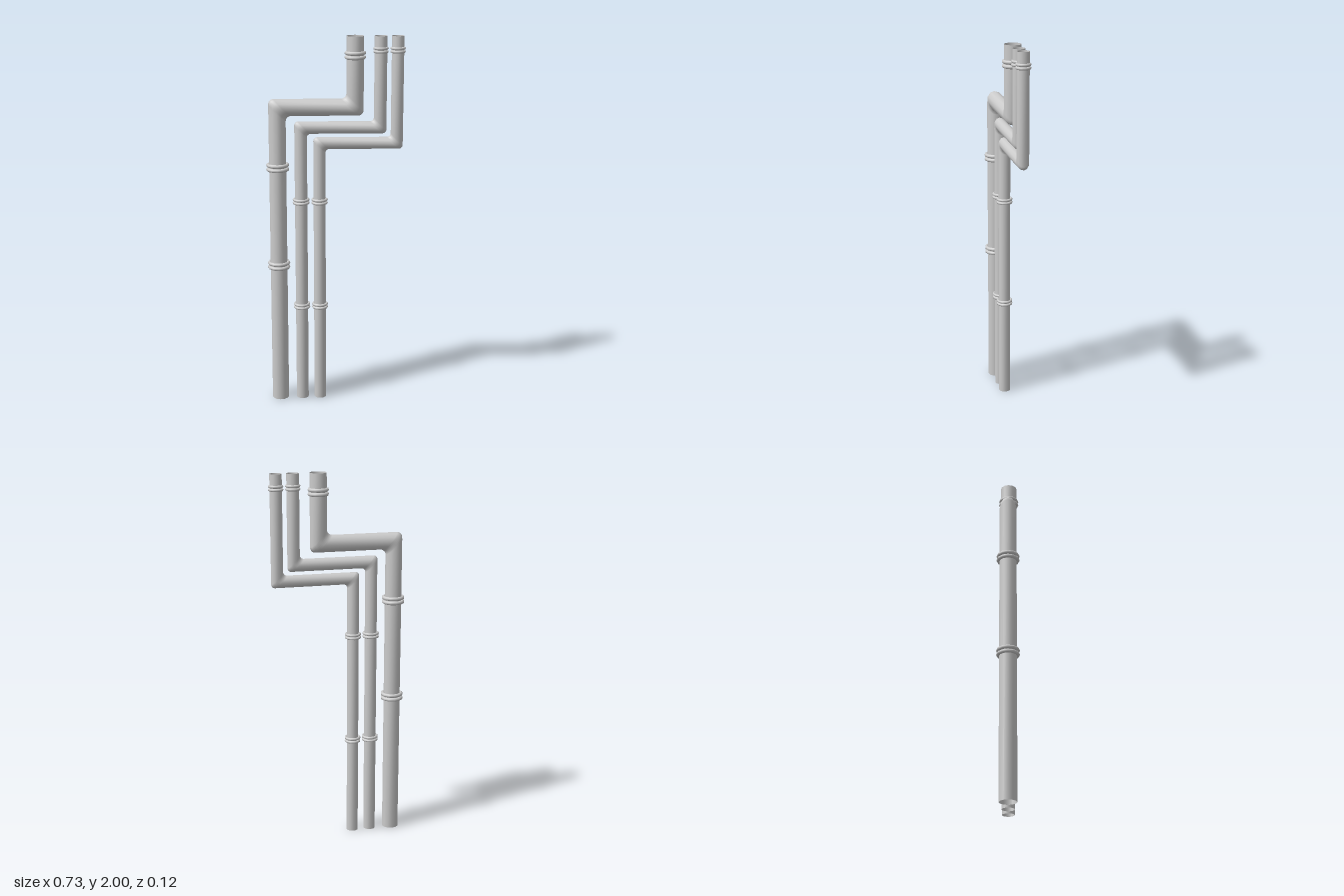
import * as THREE from 'three';

const SIDES = 12;
const BEND_STEPS = 5;
const TOP = 2;

// Open pipe swept up, across and up again. Each ring spans a left and a right
// edge point, so both the inside and the outside of a bend are filleted.
function pipeGeometry({ lowX, highX, crossY, r, fillet: f }) {
  const rings = [[[lowX - r, 0], [lowX + r, 0]]];
  const bend = (x, s) => {
    for (let k = 0; k <= BEND_STEPS; k++) {
      const t = (k / BEND_STEPS) * Math.PI / 2;
      const dx = s > 0 ? f - f * Math.cos(t) : -f + f * Math.sin(t);
      const dy = s > 0 ? -f + f * Math.sin(t) : f - f * Math.cos(t);
      rings.push([[x - r + dx, crossY + r + dy], [x + r + dx, crossY - r + dy]]);
    }
  };
  bend(lowX, 1);
  bend(highX, -1);
  rings.push([[highX - r, TOP], [highX + r, TOP]]);

  const positions = [], index = [];
  rings.forEach(([a, b], i) => {
    for (let j = 0; j < SIDES; j++) {
      const angle = (j / SIDES) * Math.PI * 2;
      const u = 0.5 + 0.5 * Math.cos(angle);
      positions.push(a[0] + (b[0] - a[0]) * u, a[1] + (b[1] - a[1]) * u, r * Math.sin(angle));
      if (i === rings.length - 1) continue;
      const p = i * SIDES + j, q = i * SIDES + (j + 1) % SIDES;
      index.push(p, p + SIDES, q, q, p + SIDES, q + SIDES);
    }
  });
  const geometry = new THREE.BufferGeometry();
  geometry.setAttribute('position', new THREE.Float32BufferAttribute(positions, 3));
  geometry.setIndex(index);
  geometry.computeVertexNormals();
  return geometry;
}

export function createModel() {
  const model = new THREE.Group();
  model.name = 'pipes';
  const material = new THREE.MeshStandardMaterial({ color: 0xcccccc, side: THREE.DoubleSide });

  // A collar is a pair of stacked rings around the pipe
  const addCollar = (parent, name, x, y, outer, bead) => {
    const collar = new THREE.Group();
    collar.name = name;
    collar.position.set(x, y, 0);
    for (const s of [-1, 1]) {
      const ring = new THREE.Mesh(new THREE.TorusGeometry(outer - bead, bead, 8, SIDES), material);
      ring.name = 'collarRing';
      ring.rotation.x = Math.PI / 2;
      ring.position.y = s * bead * 1.12;
      collar.add(ring);
    }
    parent.add(collar);
  };

  const pipes = [
    { name: 'widePipe', lowX: -0.304, highX: 0.102, crossY: 1.632, r: 0.045, fillet: 0.028,
      lowCollars: [0.775, 1.315], lowOuter: 0.061, highCollar: 1.902, highOuter: 0.056, bead: 0.01 },
    { name: 'middlePipe', lowX: -0.182, highX: 0.234, crossY: 1.525, r: 0.033, fillet: 0.02,
      lowCollars: [0.54, 1.128], lowOuter: 0.045, highCollar: 1.928, highOuter: 0.04, bead: 0.0075 },
    { name: 'innerPipe', lowX: -0.084, highX: 0.322, crossY: 1.442, r: 0.032, fillet: 0.02,
      lowCollars: [0.54, 1.128], lowOuter: 0.044, highCollar: 1.928, highOuter: 0.04, bead: 0.0075 },
  ];

  for (const p of pipes) {
    const group = new THREE.Group();
    group.name = p.name;
    const tube = new THREE.Mesh(pipeGeometry(p), material);
    tube.name = 'pipeTube';
    group.add(tube);
    for (const y of p.lowCollars) addCollar(group, 'lowerCollar', p.lowX, y, p.lowOuter, p.bead);
    addCollar(group, 'upperCollar', p.highX, p.highCollar, p.highOuter, p.bead);
    model.add(group);
  }
  return model;
}
